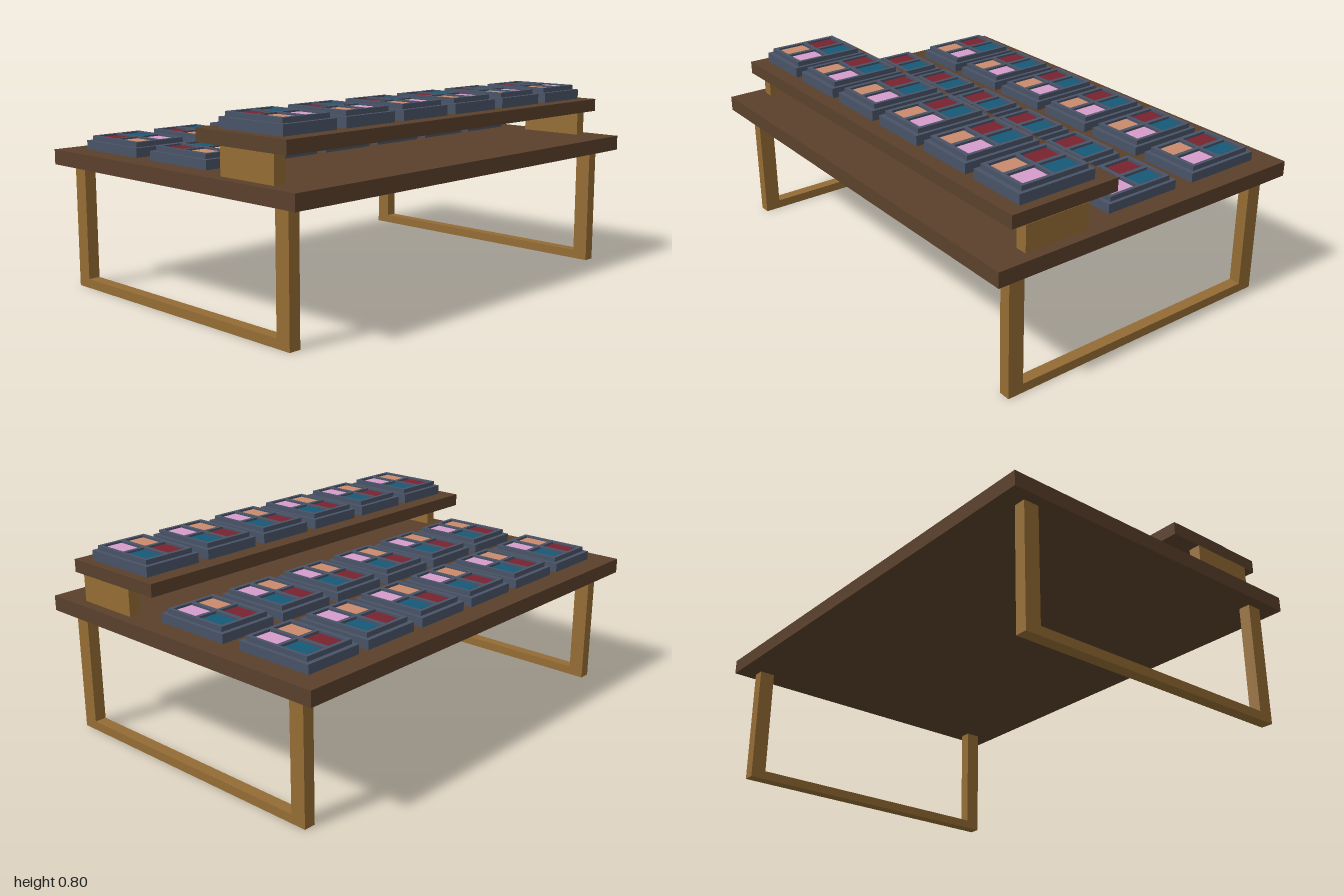
import * as THREE from 'three';

const mat = (color) => new THREE.MeshStandardMaterial({ color });
const darkWood = mat(0x5a402b), lightWood = mat(0x946c34), slate = mat(0x485366);
const tileMats = [0x78232f, 0x155a78, 0xca8a6c, 0xd59ccb].map(mat);

// Box given by its minimum and maximum corners
function box(name, material, [x0, y0, z0], [x1, y1, z1]) {
  const mesh = new THREE.Mesh(new THREE.BoxGeometry(x1 - x0, y1 - y0, z1 - z0), material);
  mesh.position.set((x0 + x1) / 2, (y0 + y1) / 2, (z0 + z1) / 2);
  mesh.name = name;
  return mesh;
}

function rect(target, x, y, w, h) {
  target.moveTo(x - w / 2, y - h / 2);
  target.lineTo(x + w / 2, y - h / 2);
  target.lineTo(x + w / 2, y + h / 2);
  target.lineTo(x - w / 2, y + h / 2);
  target.closePath();
  return target;
}

// Flat outline in (x, -z) raised upwards
function slab(shape, height) {
  return new THREE.ExtrudeGeometry(shape, { depth: height, bevelEnabled: false }).rotateX(-Math.PI / 2);
}

// Palette: stepped case with four shallow wells, each holding a coloured tile
const cells = [[-0.052, 0.072], [0.056, 0.072], [-0.052, -0.072], [0.056, -0.072]];
const rimShape = rect(new THREE.Shape(), 0, 0, 0.23, 0.305);
for (const [x, y] of cells) rimShape.holes.push(rect(new THREE.Path(), x, y, 0.09, 0.128));
const rimGeometry = slab(rimShape, 0.02);

function createPalette() {
  const palette = new THREE.Group();
  palette.name = 'palette';
  palette.add(box('caseBase', slate, [-0.13, 0, -0.172], [0.13, 0.042, 0.172]));
  const rim = new THREE.Mesh(rimGeometry, slate);
  rim.name = 'caseRim';
  rim.position.y = 0.042;
  palette.add(rim);
  cells.forEach(([x, y], i) => {
    palette.add(box('colourTile', tileMats[i],
      [x - 0.037, 0.04, -y - 0.054], [x + 0.037, 0.057, -y + 0.054]));
  });
  return palette;
}

export function createModel() {
  const model = new THREE.Group();
  model.name = 'displayTable';

  // Table top and raised front shelf
  model.add(box('tableTop', darkWood, [-1, 0.512, -0.727], [1, 0.575, 0.727]));
  model.add(box('shelf', darkWood, [-0.952, 0.685, 0.15], [0.952, 0.739, 0.635]));

  // Leg frames and shelf supports at both ends
  for (const side of [-1, 1]) {
    const x0 = side > 0 ? 0.904 : -0.954, x1 = x0 + 0.05;
    const frame = new THREE.Group();
    frame.name = side > 0 ? 'leftLegFrame' : 'rightLegFrame';
    frame.add(box('frontLeg', lightWood, [x0, 0, 0.578], [x1, 0.512, 0.645]));
    frame.add(box('backLeg', lightWood, [x0, 0, -0.645], [x1, 0.512, -0.578]));
    frame.add(box('footRail', lightWood, [x0, 0, -0.578], [x1, 0.038, 0.578]));
    model.add(frame);
    model.add(box('shelfSupport', lightWood, [x0, 0.575, 0.29], [x1, 0.685, 0.575]));
  }

  // Three rows of six palettes: one on the shelf, two on the table
  for (const [y, z] of [[0.739, 0.397], [0.571, -0.023], [0.571, -0.457]]) {
    for (let i = 0; i < 6; i++) {
      const palette = createPalette();
      palette.position.set(-0.775 + 0.311 * i, y, z);
      model.add(palette);
    }
  }
  return model;
}
